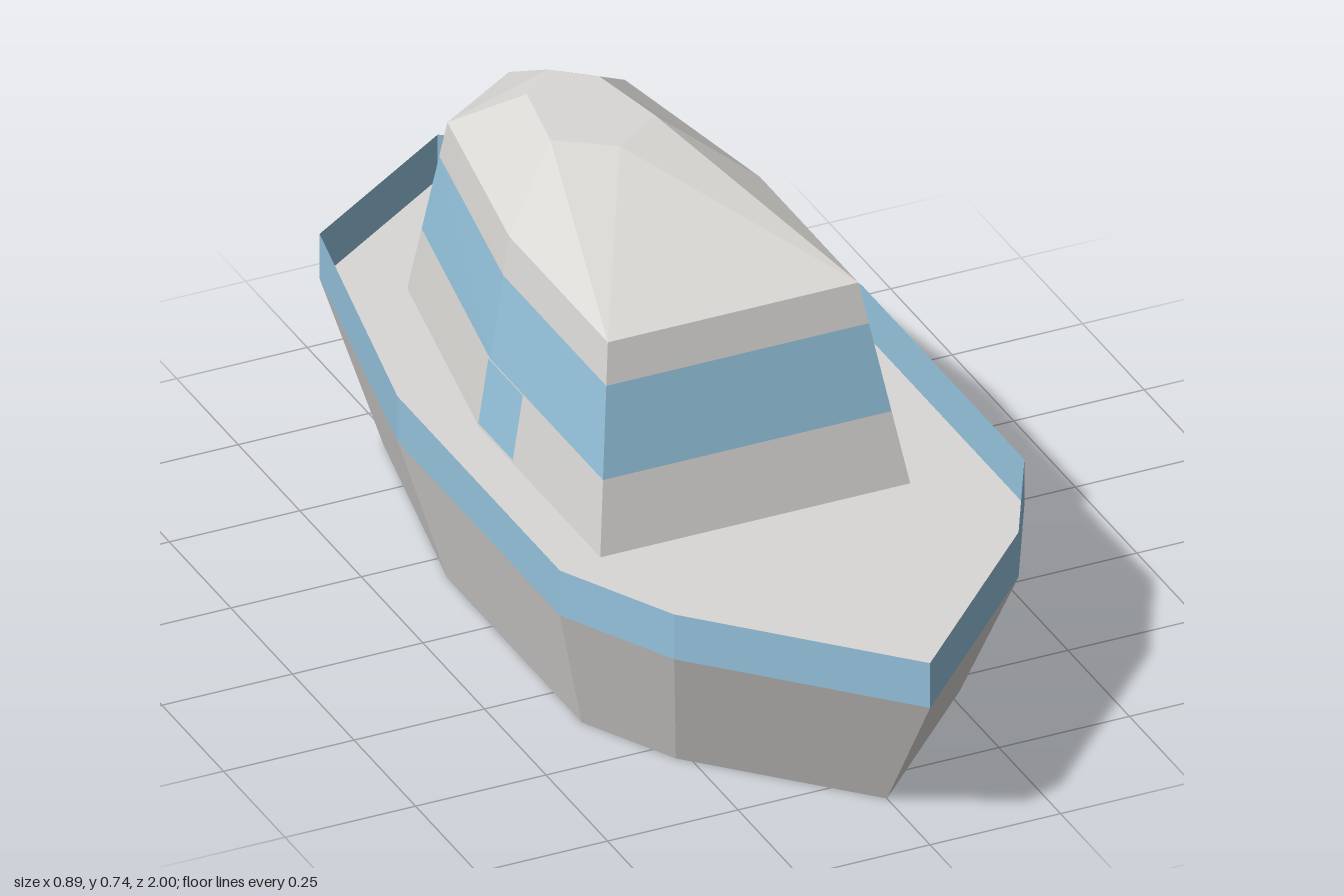
import * as THREE from 'three';

const paint = (name, color, side = THREE.FrontSide) => {
  const m = new THREE.MeshStandardMaterial({ color, side });
  m.name = name;
  return m;
};

// Mirror a half outline [x, z] (stern to bow along +x) into a closed loop.
function loop(half) {
  const other = half.filter(([x]) => x > 0).reverse().map(([x, z]) => [-x, z]);
  return [...half, ...other];
}

// Lift a loop to height y, optionally scaled about the centre.
const ring = (outline, y, s = 1) => outline.map(([x, z]) => new THREE.Vector3(x * s, y, z * s));

// Ring part-way between two rings, at height y.
const between = (lo, hi, y) => lo.map((p, i) => p.clone().lerp(hi[i], (y - p.y) / (hi[i].y - p.y)));

function faceted(points) {
  const g = new THREE.BufferGeometry().setFromPoints(points);
  g.computeVertexNormals();
  return g;
}

// Flat-sided wall between two rings, facets mirrored left to right.
function wall(lo, hi) {
  const pts = [];
  lo.forEach((a, i) => {
    const j = (i + 1) % lo.length;
    const b = lo[j], A = hi[i], B = hi[j];
    const tris = a.x < 0 ? [[a, A, B], [a, B, b]] : [[a, A, b], [b, A, B]];
    for (const t of tris) if (!t[0].equals(t[1]) && !t[1].equals(t[2])) pts.push(...t);
  });
  return faceted(pts);
}

// Flat cap over a convex ring.
function cap(r, up = true) {
  const pts = [];
  for (let i = 1; i < r.length - 1; i++) {
    pts.push(...(up ? [r[0], r[i + 1], r[i]] : [r[0], r[i], r[i + 1]]));
  }
  return faceted(pts);
}

export function createModel() {
  const grey = paint('pale grey', 0xdad8d5);
  const blue = paint('sky blue', 0x94c2dc);
  const blueThin = paint('sky blue rim', 0x94c2dc, THREE.DoubleSide);

  const model = new THREE.Group();
  model.name = 'boat';
  const add = (parent, name, geometry, material) => {
    const mesh = new THREE.Mesh(geometry, material);
    mesh.name = name;
    parent.add(mesh);
  };

  // Hull: tapered sides, sunken deck and an open blue rim
  const hull = new THREE.Group();
  hull.name = 'hull';
  const deckY = 0.275;
  const plan = loop([[0, -1], [0.33, -0.78], [0.445, -0.22], [0.445, 0.44], [0.33, 0.66], [0, 1]]);
  const keel = ring(plan, 0, 0.825);
  const deck = ring(plan, deckY);
  add(hull, 'hullSides', wall(keel, deck), grey);
  add(hull, 'hullBottom', cap(keel, false), grey);
  add(hull, 'deck', cap(deck), grey);
  add(hull, 'rim', wall(deck, ring(plan, 0.365)), blueThin);

  // Cabin: sloping walls in three bands
  const cabin = new THREE.Group();
  cabin.name = 'cabin';
  const foot = ring(loop([[0, -0.825], [0.207, -0.685], [0.297, -0.2], [0.297, 0.29]]), deckY);
  const eave = ring(loop([[0, -0.71], [0.17, -0.6], [0.24, -0.2], [0.24, 0.2]]), 0.645);
  const sill = between(foot, eave, 0.408);
  const lintel = between(foot, eave, 0.57);
  add(cabin, 'lowerWall', wall(foot, sill), grey);
  add(cabin, 'windowBand', wall(sill, lintel), blue);
  add(cabin, 'upperWall', wall(lintel, eave), grey);

  // Faceted roof with a small flat crown
  const crown = ring([[0, -0.55], [0.07, -0.49], [0.1, -0.33], [0, -0.26],
    [0, -0.26], [-0.1, -0.33], [-0.07, -0.49]], 0.735);
  add(cabin, 'roof', wall(eave, crown), grey);
  add(cabin, 'roofCrown', cap(crown), grey);

  // Door panel under the window band on the right side
  const doorPoint = (y, z) => {
    const t = (y - deckY) / (0.645 - deckY);
    return new THREE.Vector3(-0.301 + 0.057 * t, y, z);
  };
  const [a, b, c, d] = [doorPoint(0.285, -0.2), doorPoint(0.285, -0.06),
    doorPoint(0.41, -0.06), doorPoint(0.41, -0.2)];
  add(cabin, 'door', faceted([a, b, c, a, c, d]), blueThin);

  model.add(hull, cabin);
  return model;
}
